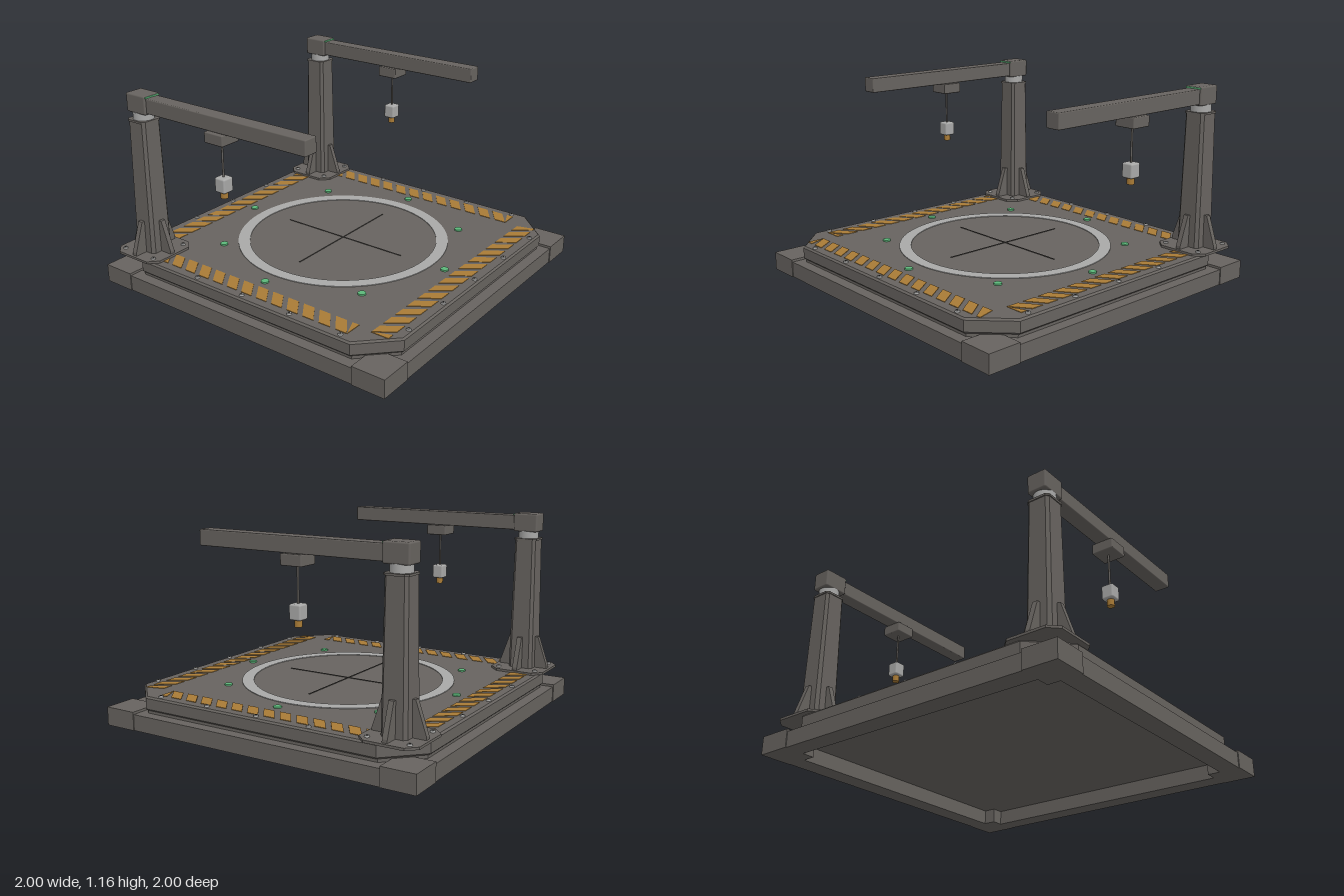
import * as THREE from 'three';
import { RoundedBoxGeometry } from 'three/addons/geometries/RoundedBoxGeometry.js';

const mat = (name, color) => {
  const m = new THREE.MeshStandardMaterial({ color });
  m.name = name;
  return m;
};

export function createModel() {
  const model = new THREE.Group();
  model.name = 'gantryPlatform';
  const body = mat('warm grey metal', 0x67635f);
  const dark = mat('dark metal', 0x3c3a38);
  const light = mat('light steel', 0xa9a9a8);
  const orange = mat('hazard orange', 0xa97b36);
  const green = mat('signal green', 0x5cb87a);

  const add = (parent, name, geo, material, x = 0, y = 0, z = 0) => {
    const mesh = new THREE.Mesh(geo, material);
    mesh.name = name;
    mesh.position.set(x, y, z);
    parent.add(mesh);
    return mesh;
  };
  const box = (w, h, d) => new THREE.BoxGeometry(w, h, d);
  const cyl = (r, h, n = 20, r2 = r) => new THREE.CylinderGeometry(r, r2, h, n);

  // Square outline with cut corners
  const cutSquare = (half, cut) => {
    const k = half - cut;
    return new THREE.Shape([
      [half, -k], [half, k], [k, half], [-k, half],
      [-half, k], [-half, -k], [-k, -half], [k, -half],
    ].map(([x, y]) => new THREE.Vector2(x, y)));
  };
  // Horizontal slab with its underside at y = 0
  const slab = (shape, h, bevel = 0) => {
    const geo = new THREE.ExtrudeGeometry(shape, {
      depth: h - 2 * bevel, bevelEnabled: bevel > 0, bevelSize: bevel,
      bevelThickness: bevel, bevelOffset: -bevel, bevelSegments: 1, curveSegments: 64,
    });
    return geo.rotateX(-Math.PI / 2).translate(0, bevel, 0);
  };

  // Base frame: corner blocks and side rails
  const frame = new THREE.Group();
  frame.name = 'baseFrame';
  model.add(frame);
  for (const x of [-1, 1]) for (const z of [-1, 1])
    add(frame, 'cornerBlock', box(0.2, 0.108, 0.2), body, x * 0.9, 0.054, z * 0.9);
  for (const s of [-1, 1]) {
    add(frame, 'sideRail', box(0.12, 0.094, 1.6), body, s * 0.935, 0.047, 0);
    add(frame, 'endRail', box(1.6, 0.094, 0.12), body, 0, 0.047, s * 0.935);
  }

  // Deck
  const deckTop = 0.194;
  add(model, 'underPanel', slab(cutSquare(0.93, 0.18), 0.03), body, 0, 0.088, 0);
  add(model, 'deck', slab(cutSquare(0.945, 0.195), deckTop - 0.112, 0.01), body, 0, 0.112, 0);

  // Landing ring and centre cross
  const ring = new THREE.Shape().absarc(0, 0, 0.635, 0, Math.PI * 2);
  ring.holes.push(new THREE.Path().absarc(0, 0, 0.565, 0, Math.PI * 2, true));
  add(model, 'deckRing', slab(ring, 0.004), light, 0, deckTop, 0);
  add(model, 'crossLineX', box(0.84, 0.003, 0.007), dark, 0, deckTop + 0.0015, 0);
  add(model, 'crossLineZ', box(0.007, 0.003, 0.84), dark, 0, deckTop + 0.0015, 0);

  // Marker lamps around the ring
  for (let i = 0; i < 8; i++) {
    const a = i * Math.PI / 4;
    add(model, 'markerLamp', cyl(0.023, 0.009), green,
      0.72 * Math.cos(a), deckTop + 0.0045, 0.72 * Math.sin(a));
  }

  // Hazard stripes: slanted bars trimmed to a rectangular band
  const hazardBand = (length, x, z, turn) => {
    const h = 0.105, period = 0.107, width = 0.072, slant = 0.075;
    const lim = (v) => THREE.MathUtils.clamp(v, -length / 2, length / 2);
    const bars = [];
    for (let a = -length / 2 - 0.03; a < length / 2 + slant; a += period) {
      const pts = [[lim(a), -h / 2], [lim(a + width), -h / 2],
        [lim(a + width - slant), h / 2], [lim(a - slant), h / 2]];
      if (pts[1][0] - pts[0][0] + pts[2][0] - pts[3][0] < 0.005) continue;
      bars.push(new THREE.Shape(pts.map(([u, v]) => new THREE.Vector2(u, v))));
    }
    add(model, 'hazardBand', slab(bars, 0.003), orange, x, deckTop, z).rotation.y = turn;
  };
  hazardBand(1.6, 0, 0.83, 0);
  hazardBand(1.6, 0, -0.835, 0);
  hazardBand(1.38, -0.833, 0, Math.PI / 2);
  hazardBand(1.38, 0.833, 0, Math.PI / 2);

  // Bolts
  const bolt = (parent, x, y, z) => {
    add(parent, 'boltHead', cyl(0.012, 0.01, 12, 0.014), light, x, y + 0.005, z);
    add(parent, 'boltSocket', cyl(0.006, 0.002, 6), dark, x, y + 0.0105, z);
  };
  for (let i = -2; i <= 2; i++) for (const s of [-1, 1]) {
    const t = i / 3;
    if (s > 0 || Math.abs(i) < 2) bolt(model, t, deckTop, s * 0.915);
    if (i > -2) bolt(model, s * 0.91, deckTop, t);
  }

  // Tapered column with cut corners
  const column = () => {
    const geo = slab(cutSquare(0.076, 0.018), 0.8);
    const p = geo.attributes.position;
    for (let i = 0; i < p.count; i++) {
      const k = 1 - 0.15 * p.getY(i) / 0.8;
      p.setX(i, p.getX(i) * k);
      p.setZ(i, p.getZ(i) * k);
    }
    geo.computeVertexNormals();
    return geo;
  };

  // Gusset fin reaching out along +x
  const finShape = new THREE.Shape([[0.06, 0], [0.153, 0], [0.153, 0.018], [0.092, 0.195], [0.06, 0.195]]
    .map(([x, y]) => new THREE.Vector2(x, y)));
  const finGeo = new THREE.ExtrudeGeometry(finShape, { depth: 0.03, bevelEnabled: false })
    .translate(0, 0, -0.015);

  // Crane towers
  for (const side of [-1, 1]) {
    const crane = new THREE.Group();
    crane.name = side > 0 ? 'leftCrane' : 'rightCrane';
    crane.position.set(side * 0.8, 0, -0.8);
    model.add(crane);

    add(crane, 'footPlate', slab(cutSquare(0.168, 0.055), 0.014), body, 0, deckTop, 0);
    for (const x of [-1, 1]) for (const z of [-1, 1])
      bolt(crane, x * 0.118, deckTop + 0.014, z * 0.118);
    add(crane, 'column', column(), body, 0, 0.204, 0);
    for (let i = 0; i < 4; i++)
      add(crane, 'gusset', finGeo, body, 0, 0.207, 0).rotation.y = i * Math.PI / 2;
    add(crane, 'columnCap', slab(cutSquare(0.07, 0.018), 0.012), body, 0, 1.0, 0);
    add(crane, 'swivelCollar', cyl(0.06, 0.044, 32), light, 0, 1.034, 0);
    add(crane, 'headBlock', new RoundedBoxGeometry(0.115, 0.11, 0.15, 2, 0.01), body, 0, 1.107, 0.003);
    add(crane, 'statusStrip', box(0.1, 0.008, 0.006), green, 0, 1.153, 0.079);
    add(crane, 'arm', new RoundedBoxGeometry(0.09, 0.088, 1.145, 2, 0.006), body, 0, 1.104, 0.633);

    // Trolley, rod and tool hanging from the arm
    const hoist = new THREE.Group();
    hoist.name = 'hoist';
    hoist.position.z = 0.6;
    crane.add(hoist);
    add(hoist, 'trolley', new RoundedBoxGeometry(0.13, 0.062, 0.13, 2, 0.006), body, 0, 1.029, 0);
    add(hoist, 'rod', cyl(0.006, 0.21, 12), body, 0, 0.9, 0);
    add(hoist, 'toolBlock', new RoundedBoxGeometry(0.072, 0.084, 0.072, 2, 0.01), light, 0, 0.757, 0);
    add(hoist, 'nozzle', cyl(0.021, 0.04, 20), orange, 0, 0.698, 0);
  }
  return model;
}
